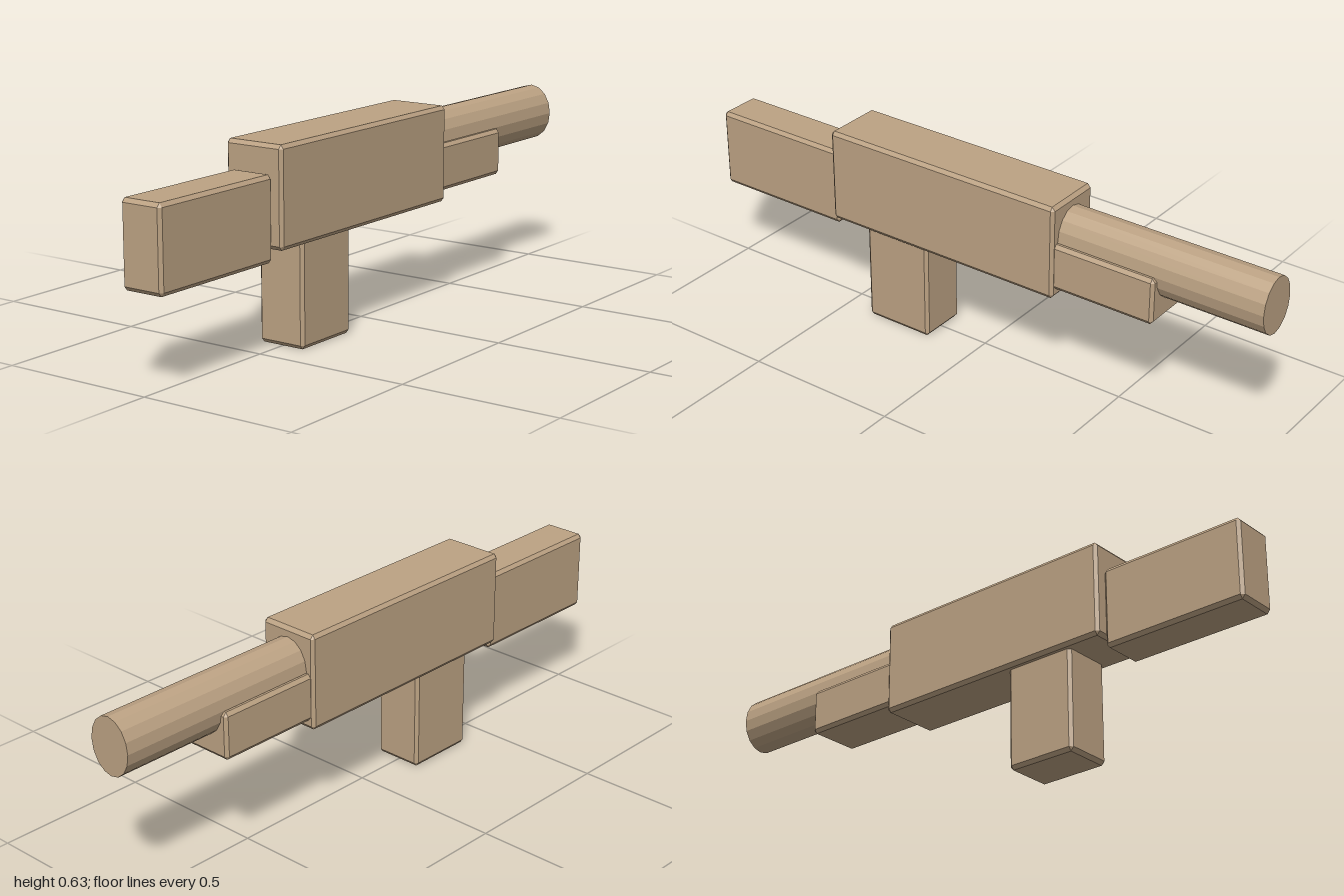
import * as THREE from 'three';
import { ConvexGeometry } from 'three/addons/geometries/ConvexGeometry.js';

const tan = new THREE.MeshStandardMaterial({ color: 0xbca283, flatShading: true });
tan.name = 'tan';

// Box with chamfered edges, given by its x and y ranges and half depth
function chamferBox(name, x0, x1, y0, y1, halfZ) {
  const half = [(x1 - x0) / 2, (y1 - y0) / 2, halfZ];
  const cut = [0.01, 0.012, 0.009];
  const points = [];
  for (const sx of [-1, 1]) for (const sy of [-1, 1]) for (const sz of [-1, 1]) {
    // Each corner becomes three points, one lying on each adjoining face
    for (let face = 0; face < 3; face++) {
      const p = [sx, sy, sz].map((s, i) => s * (half[i] - (i === face ? 0 : cut[i])));
      points.push(new THREE.Vector3(...p));
    }
  }
  const mesh = new THREE.Mesh(new ConvexGeometry(points), tan);
  mesh.name = name;
  mesh.position.set((x0 + x1) / 2, (y0 + y1) / 2, 0);
  return mesh;
}

export function createModel() {
  const model = new THREE.Group();
  model.name = 'model';

  model.add(
    chamferBox('body', -0.52, 0.317, 0.322, 0.627, 0.1),
    chamferBox('rearBlock', -1, -0.522, 0.286, 0.542, 0.07),
    chamferBox('handle', -0.4, -0.165, 0, 0.335, 0.08),
    chamferBox('lowerBlock', 0.3, 0.656, 0.353, 0.503, 0.09)
  );

  // Sixteen-sided tube, slightly taller than it is wide
  const tube = new THREE.CylinderGeometry(1, 1, 0.7, 16);
  tube.rotateZ(-Math.PI / 2);
  tube.scale(1, 0.091, 0.074);
  const barrel = new THREE.Mesh(tube, tan);
  barrel.name = 'barrel';
  barrel.position.set(0.65, 0.505, 0);
  model.add(barrel);

  return model;
}
